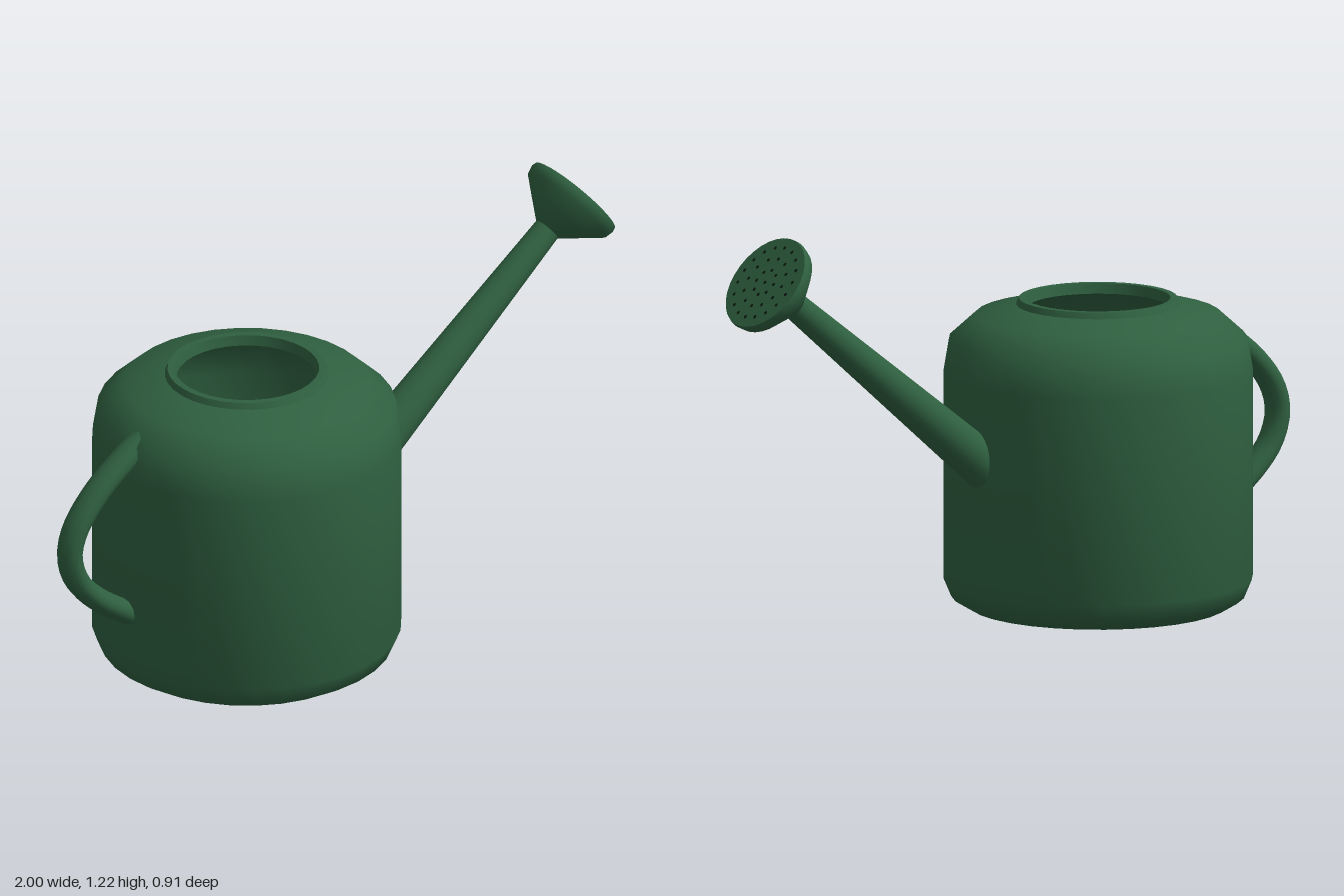
import * as THREE from 'three';
import { toCreasedNormals } from 'three/addons/utils/BufferGeometryUtils.js';

const green = new THREE.MeshStandardMaterial({ color: 0x2f6040 });
green.name = 'garden green';
const dark = new THREE.MeshStandardMaterial({ color: 0x0c1a11 });
dark.name = 'hole dark';

const BODY_X = -0.31;
const TILT = THREE.MathUtils.degToRad(37.5); // upward angle of the sprinkler head

const lathe = (pts, sides) => toCreasedNormals(
  new THREE.LatheGeometry(pts.map(([r, y]) => new THREE.Vector2(r, y)), sides), 0.85);

function add(parent, name, geometry, material = green) {
  const mesh = new THREE.Mesh(geometry, material);
  mesh.name = name;
  parent.add(mesh);
  return mesh;
}

export function createModel() {
  const model = new THREE.Group();
  model.name = 'wateringCan';

  // Hollow body: outer wall, raised rim, then inner wall down to the floor
  const body = add(model, 'body', lathe([
    [0, 0], [0.36, 0], [0.38, 0], [0.43, 0.03], [0.453, 0.085], [0.453, 0.70],
    [0.437, 0.795], [0.36, 0.865], [0.24, 0.897], [0.232, 0.915], [0.212, 0.915],
    [0.205, 0.885], [0.345, 0.84], [0.41, 0.775], [0.425, 0.69], [0.425, 0.09],
    [0.37, 0.03], [0, 0.03],
  ], 32));
  body.position.x = BODY_X;

  // Curved handle with a slightly wide oval section
  const curve = new THREE.CatmullRomCurve3([
    [-0.69, 0.80], [-0.76, 0.76], [-0.87, 0.675], [-0.945, 0.58], [-0.965, 0.5],
    [-0.94, 0.415], [-0.87, 0.335], [-0.76, 0.257], [-0.70, 0.22],
  ].map(([x, y]) => new THREE.Vector3(x, y, 0)));
  const handle = add(model, 'handle', new THREE.TubeGeometry(curve, 28, 0.035, 12, false));
  handle.scale.z = 1.25;

  // Tapered spout
  const start = new THREE.Vector3(0.085, 0.445, 0);
  const end = new THREE.Vector3(0.81, 1.032, 0);
  const axis = end.clone().sub(start);
  const spout = add(model, 'spout', new THREE.CylinderGeometry(0.04, 0.07, axis.length(), 24));
  spout.position.copy(start).add(end).multiplyScalar(0.5);
  spout.quaternion.setFromUnitVectors(new THREE.Vector3(0, 1, 0), axis.normalize());

  // Flared sprinkler head, its flat face at local y = 0
  const head = new THREE.Group();
  head.name = 'sprinklerHead';
  head.position.set(0.905, 1.104, 0);
  head.rotation.z = TILT - Math.PI / 2;
  model.add(head);
  add(head, 'rose', lathe([
    [0, -0.13], [0.041, -0.13], [0.095, -0.083], [0.147, -0.037], [0.153, -0.012],
    [0.15, 0], [0, 0],
  ], 32));

  // Rings of small water holes
  const dot = new THREE.CircleGeometry(0.006, 8).rotateX(-Math.PI / 2);
  for (const [radius, count] of [[0, 1], [0.041, 8], [0.08, 12], [0.118, 18]]) {
    for (let i = 0; i < count; i++) {
      const a = (i / count) * Math.PI * 2;
      add(head, 'waterHole', dot, dark)
        .position.set(-radius * Math.cos(a), 0.001, radius * Math.sin(a));
    }
  }
  return model;
}
